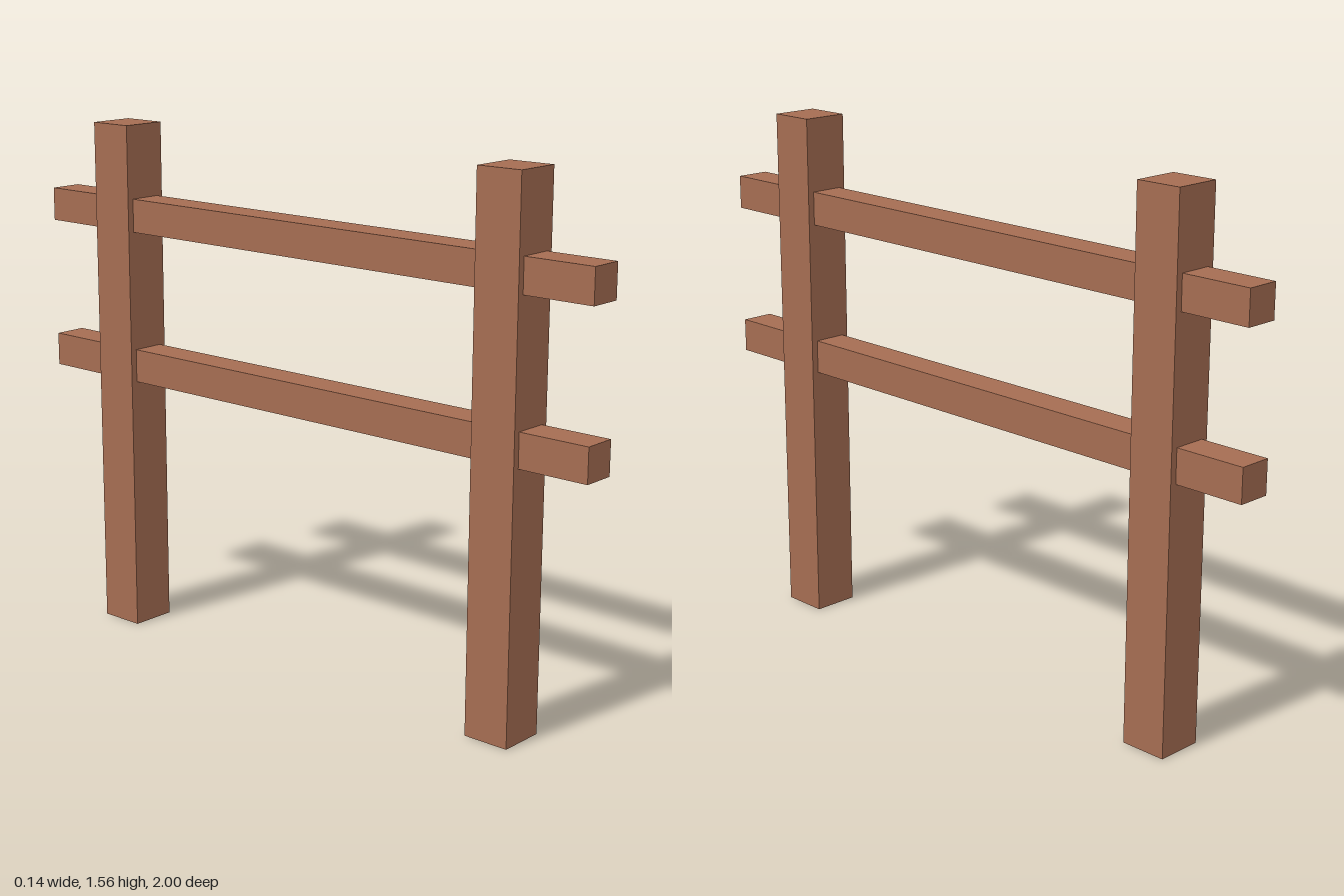
import * as THREE from 'three';

export function createModel() {
  const fence = new THREE.Group();
  fence.name = 'fence';
  const wood = new THREE.MeshStandardMaterial({ color: 0xa56d52 });
  wood.name = 'brown wood';

  function beam(name, width, height, depth, y, z) {
    const mesh = new THREE.Mesh(new THREE.BoxGeometry(width, height, depth), wood);
    mesh.name = name;
    mesh.position.set(0, y, z);
    fence.add(mesh);
  }

  // Upright square posts
  const postHeight = 1.56;
  beam('frontPost', 0.14, postHeight, 0.14, postHeight / 2, 0.715);
  beam('backPost', 0.14, postHeight, 0.14, postHeight / 2, -0.715);

  // Horizontal rails running through both posts
  beam('lowerRail', 0.1, 0.1, 2, 0.83, 0);
  beam('upperRail', 0.1, 0.1, 2, 1.29, 0);

  return fence;
}
